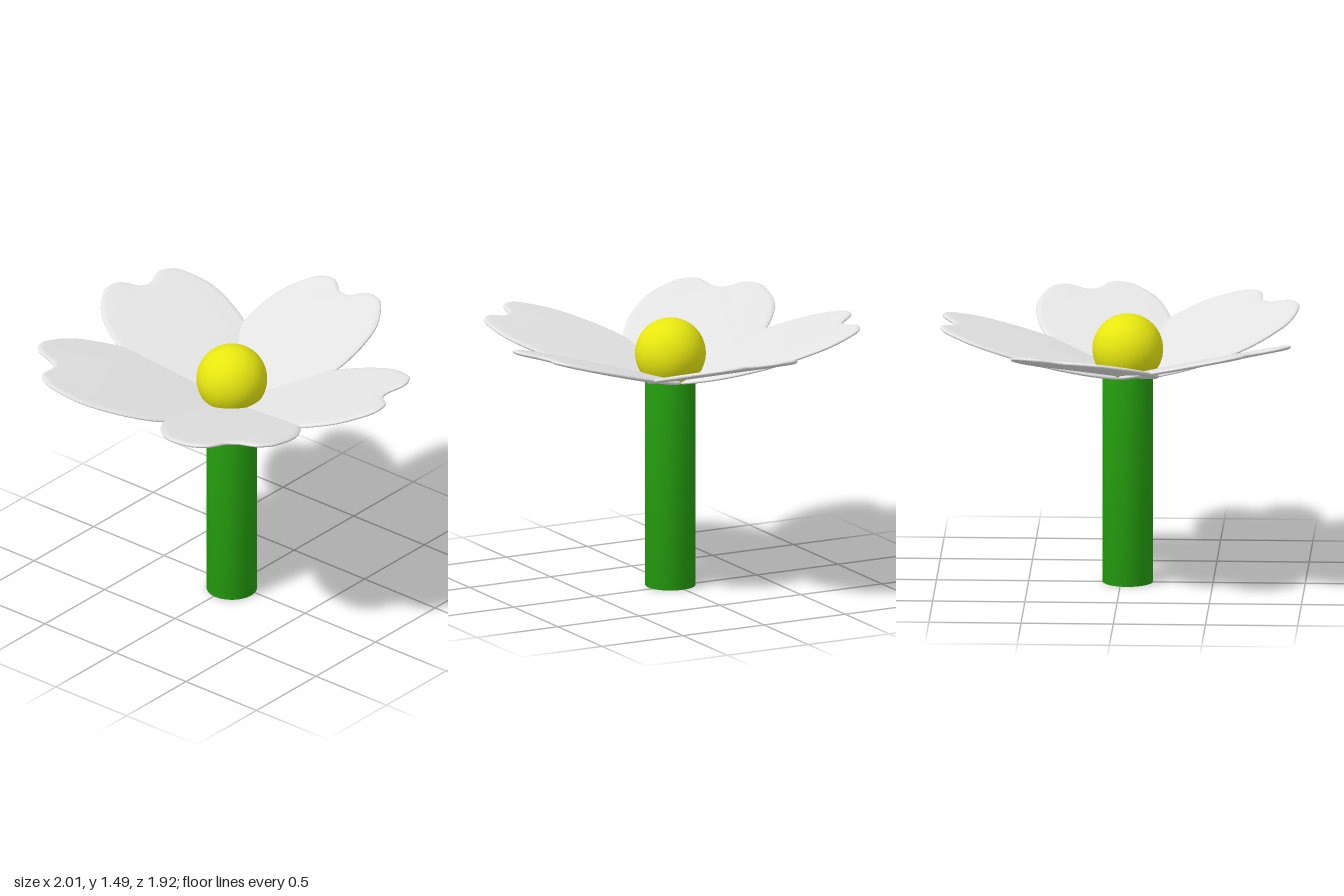
import * as THREE from 'three';
import { toCreasedNormals } from 'three/addons/utils/BufferGeometryUtils.js';

const CX = 0.012, CZ = 0.037; // flower axis

// Notched petal outline, base at the origin, pointing along +y
function petalShape() {
  const s = new THREE.Shape();
  s.moveTo(0, -0.03);
  const side = [
    [0.09, 0.01], [0.185, 0.105], [0.275, 0.24], [0.338, 0.4], [0.363, 0.54],
    [0.358, 0.7], [0.325, 0.84], [0.24, 0.97], [0.18, 1.005], [0.12, 1.008],
    [0.075, 0.98], [0.04, 0.952],
  ].map(([x, y]) => new THREE.Vector2(x, y));
  const mirrored = side.map((p) => new THREE.Vector2(-p.x, p.y)).reverse();
  s.splineThru([...side, new THREE.Vector2(0, 0.942), ...mirrored, new THREE.Vector2(0, -0.03)]);
  return s;
}

// Thin plate with softly rounded edges, scaled in width and length
function petalGeometry(width, length) {
  const depth = 0.002, bevel = 0.011, tilt = 0.285;
  const g = new THREE.ExtrudeGeometry(petalShape(), {
    depth, curveSegments: 4, bevelEnabled: true, bevelSegments: 4,
    bevelThickness: bevel, bevelSize: 0.03, bevelOffset: -0.03,
  });
  g.translate(0, 0, -depth / 2);
  g.scale(width, length / Math.cos(tilt), 1);
  g.rotateX(-Math.PI / 2 + tilt); // lay flat, then raise the tip
  return toCreasedNormals(g, 0.5);
}

export function createModel() {
  const group = new THREE.Group();
  const green = new THREE.MeshStandardMaterial({ name: 'stem green', color: 0x249c0e });
  const yellow = new THREE.MeshStandardMaterial({ name: 'centre yellow', color: 0xe7e710 });
  const white = new THREE.MeshStandardMaterial({ name: 'petal white', color: 0xe4e4e4 });

  const add = (name, geometry, material, x, y, z) => {
    const mesh = new THREE.Mesh(geometry, material);
    mesh.name = name;
    mesh.position.set(CX + x, y, CZ + z);
    group.add(mesh);
    return mesh;
  };

  // Stem, with normals blended over its rims, and round centre
  const stemProfile = [[0, 0], [0.137, 0], [0.137, 1.2], [0, 1.2]].map(([x, y]) => new THREE.Vector2(x, y));
  add('stem', new THREE.LatheGeometry(stemProfile, 48), green, 0, 0, 0);
  add('flowerCentre', new THREE.SphereGeometry(0.192, 48, 32), yellow, 0, 1.294, 0);

  // Petals: clockwise angle from the back, width, length, x and z offset
  [
    ['backPetal', 0, 1, 1, 0, 0],
    ['leftPetal', 75.5, 1, 0.975, 0, 0],
    ['frontLeftPetal', 138.5, 1.04, 1, -0.01, 0.02],
    ['frontRightPetal', 226, 1.08, 1.03, 0.02, 0.025],
    ['rightPetal', 289.5, 1.04, 1, 0, -0.01],
  ].forEach(([name, degrees, width, length, x, z]) => {
    const petal = add(name, petalGeometry(width, length), white, x, 1.143, z);
    petal.rotation.y = -THREE.MathUtils.degToRad(degrees);
  });
  return group;
}
